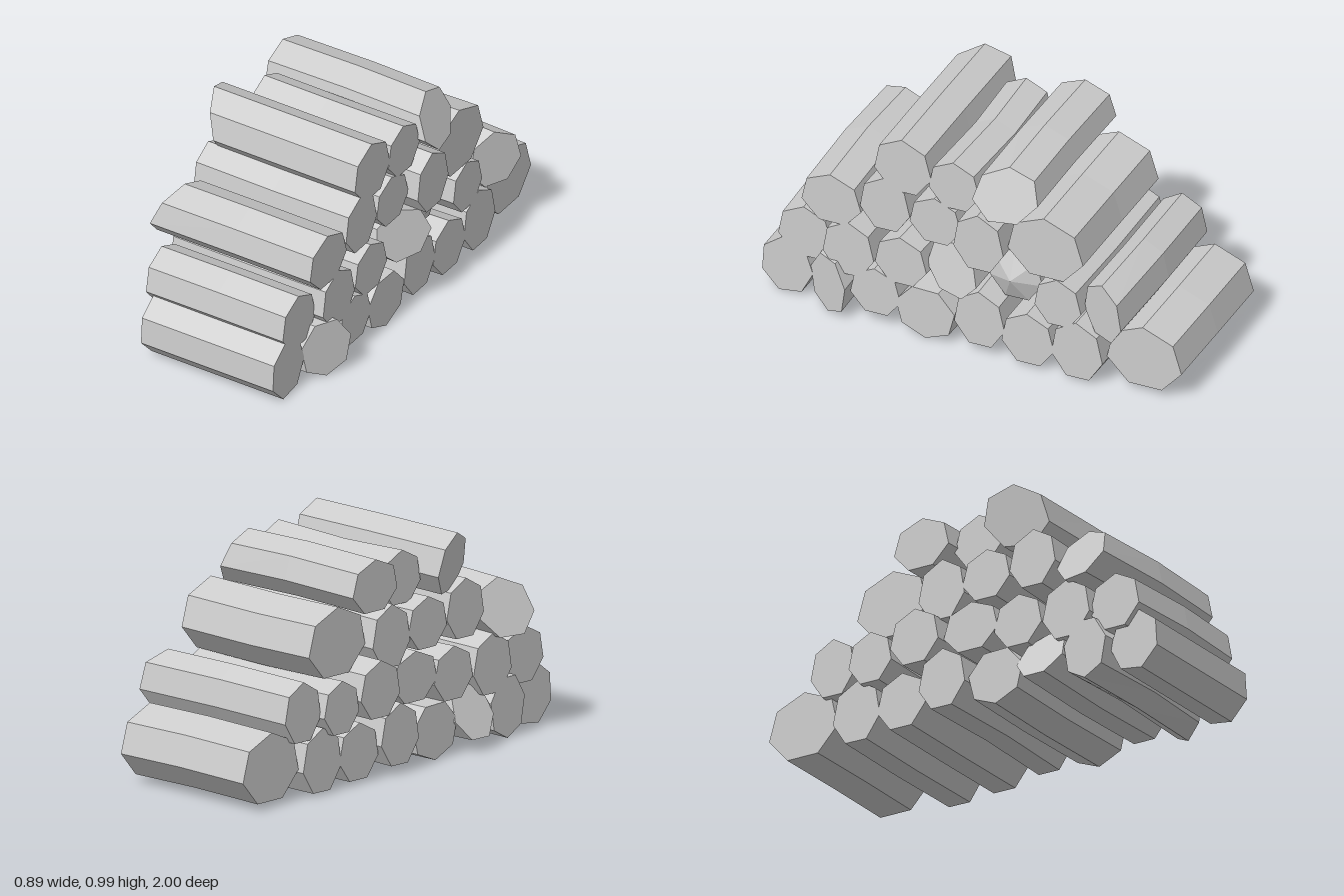
import * as THREE from 'three';

const SIDES = 7;
const SLANT = 0.057;

// Rough log along x: three seven-sided rings, slightly bent at the middle, fan caps.
// slant: [end, angle in degrees] cuts one end at a slope; tip makes the right end pointed.
function logGeometry({ z, y, rz, ry, bend, phase = 92, left = -0.39, right = 0.39, slant = [2, 0], tip = 0 }) {
  const pos = [];
  const [slantEnd, slantAngle] = slant;
  const rings = [left, 0, right].map((x, k) => {
    const [dy, dz] = k === 1 ? bend : [0, 0];
    const ring = [];
    for (let i = 0; i < SIDES; i++) {
      const deg = phase + (i * 360) / SIDES;
      const a = THREE.MathUtils.degToRad(deg);
      const slope = Math.cos(THREE.MathUtils.degToRad(deg - slantAngle));
      const shift = k - 1 === slantEnd ? slantEnd * SLANT * slope : 0;
      ring.push(new THREE.Vector3(
        x + shift,
        Math.max(0.003, y + dy + ry * 1.02 * Math.sin(a)),
        z + dz - rz * 1.02 * Math.cos(a)
      ));
    }
    return ring;
  });
  const tri = (...v) => v.forEach((p) => pos.push(p.x, p.y, p.z));
  const capLeft = new THREE.Vector3(left, y, z);
  const capRight = new THREE.Vector3(right + tip, y, z);
  for (let i = 0; i < SIDES; i++) {
    const j = (i + 1) % SIDES;
    for (let k = 0; k < 2; k++) {
      const a = rings[k], b = rings[k + 1];
      tri(b[i], a[i], a[j]);
      tri(b[i], a[j], b[j]);
    }
    tri(capRight, rings[2][i], rings[2][j]);
    tri(capLeft, rings[0][j], rings[0][i]);
  }
  const g = new THREE.BufferGeometry();
  g.setAttribute('position', new THREE.Float32BufferAttribute(pos, 3));
  g.computeVertexNormals();
  return g;
}

// Rows from the ground up; each log: [z, y, half depth, half height, options]
const ROWS = [
  [
    [0.875, 0.142, 0.123, 0.14, { phase: 150, left: -0.335, right: 0.34 }],
    [0.655, 0.142, 0.108, 0.143, { phase: 65, slant: [1, 0] }],
    [0.43, 0.168, 0.12, 0.117, { slant: [-1, 270] }],
    [0.193, 0.132, 0.14, 0.128, { phase: 270 }],
    [-0.064, 0.174, 0.12, 0.14, { left: -0.42 }],
    [-0.294, 0.14, 0.125, 0.13],
    [-0.527, 0.15, 0.122, 0.145],
    [-0.822, 0.175, 0.178, 0.155, { left: -0.36, right: 0.34 }],
  ],
  [
    [0.79, 0.335, 0.127, 0.13, { left: -0.36, right: 0.34 }],
    [0.559, 0.348, 0.122, 0.138],
    [0.31, 0.36, 0.123, 0.122],
    [0.065, 0.396, 0.14, 0.115, { slant: [1, 330] }],
    [-0.2, 0.403, 0.125, 0.13, { left: -0.43, right: 0.31, tip: 0.06 }],
    [-0.436, 0.37, 0.111, 0.12, { left: -0.42 }],
    [-0.65, 0.388, 0.114, 0.136, { slant: [1, 0] }],
  ],
  [
    [0.64, 0.583, 0.142, 0.125, { slant: [-1, 240] }],
    [0.385, 0.632, 0.119, 0.135],
    [0.145, 0.619, 0.123, 0.117],
    [-0.086, 0.607, 0.119, 0.143, { right: 0.445 }],
    [-0.377, 0.634, 0.18, 0.155, { left: -0.34 }],
  ],
  [
    [0.3, 0.853, 0.136, 0.138, { slant: [-1, 30] }],
    [0.056, 0.826, 0.121, 0.122, { left: -0.32 }],
    [-0.19, 0.853, 0.142, 0.118, { slant: [1, 240] }],
  ],
];

export function createModel() {
  const model = new THREE.Group();
  model.name = 'logPile';
  const material = new THREE.MeshStandardMaterial({ color: 0xcccccc, flatShading: true });
  ROWS.forEach((row, n) => {
    const group = new THREE.Group();
    group.name = `logRow${n + 1}`;
    row.forEach(([z, y, rz, ry, options], i) => {
      const bend = [0.009 * Math.sin(i * 2.1 + n), 0.009 * Math.sin(i * 1.7 + n)];
      const log = new THREE.Mesh(logGeometry({ z, y, rz, ry, bend, ...options }), material);
      log.name = `log${i + 1}`;
      group.add(log);
    });
    model.add(group);
  });
  return model;
}
